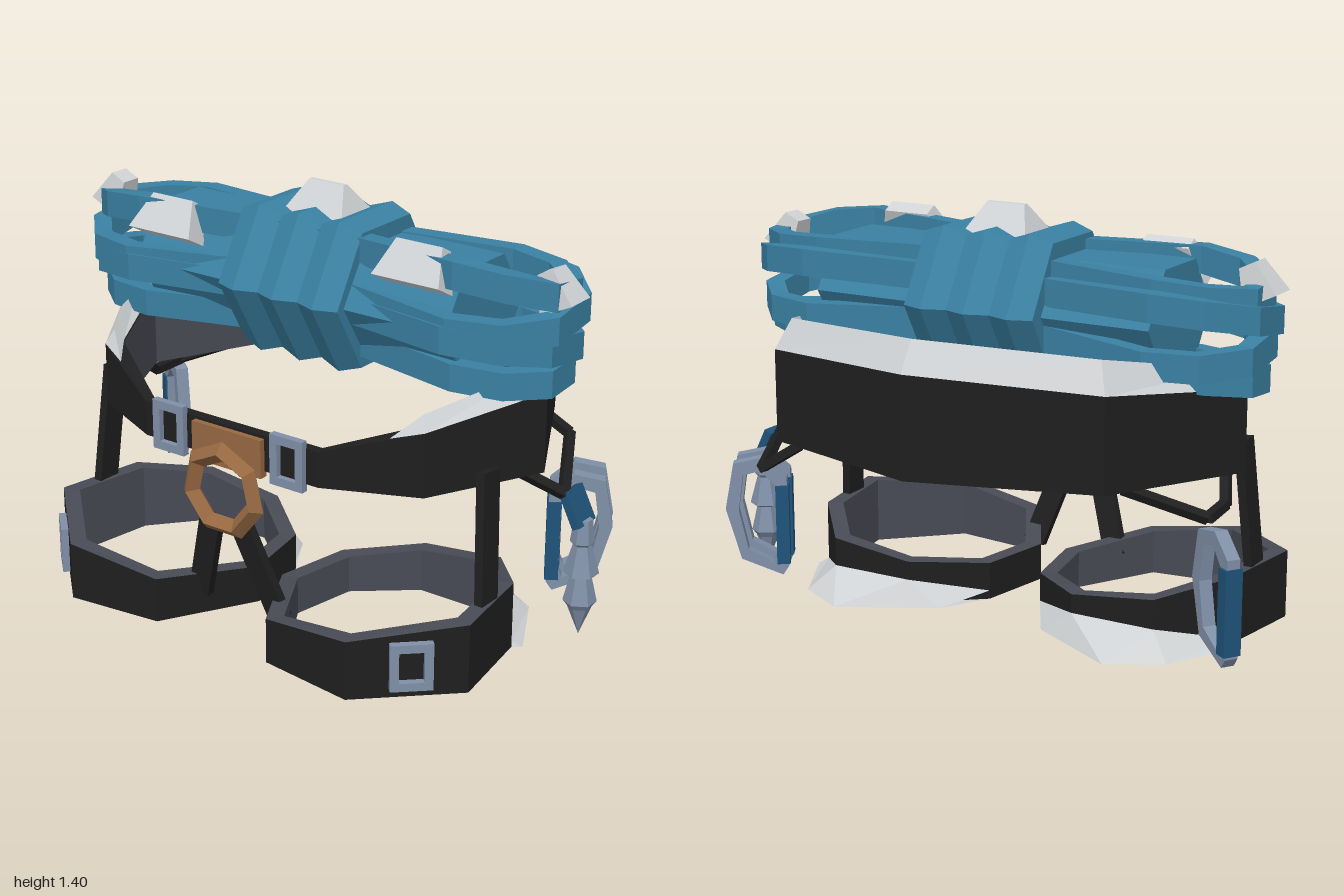
import * as THREE from 'three';

const mat = (name, color, side = THREE.FrontSide) => {
  const m = new THREE.MeshStandardMaterial({ color, side });
  m.name = name;
  return m;
};
const webbing = mat('blackWebbing', 0x1f1f1f);
const padding = mat('greyPadding', 0x484b55);
const rope = mat('blueRope', 0x3a80a2);
const snow = mat('snow', 0xcfd2d4, THREE.DoubleSide);
const metal = mat('steelBlueMetal', 0x8090a8);
const darkBlue = mat('darkBlueGate', 0x1f5279);
const tan = mat('tanLoop', 0x966841);

const V = (x, y, z) => new THREE.Vector3(x, y, z);

function add(parent, name, geo, material) {
  const g = geo.index ? geo.toNonIndexed() : geo;
  g.computeVertexNormals();
  const m = new THREE.Mesh(g, material);
  m.name = name;
  parent.add(m);
  return m;
}

// Faceted geometry from a list of four-cornered faces
function quads(list) {
  const pos = [];
  for (const [a, b, c, d] of list)
    for (const p of [a, b, c, a, c, d]) pos.push(p.x, p.y, p.z);
  const g = new THREE.BufferGeometry();
  g.setAttribute('position', new THREE.Float32BufferAttribute(pos, 3));
  return g;
}

// Closed strap loop from outer points [x, z, top, bottom, thickness]
function band(parent, name, pts, outerMat, innerMat, rimMat) {
  const n = pts.length;
  const dir = (p, q) => new THREE.Vector2(q[1] - p[1], p[0] - q[0]).normalize();
  const inner = pts.map((p, i) => {
    const a = dir(pts[(i + n - 1) % n], p), b = dir(p, pts[(i + 1) % n]);
    const m = a.clone().add(b);
    m.multiplyScalar(2 * p[4] / m.lengthSq());
    return [p[0] - m.x, p[1] - m.y];
  });
  const shell = [], lining = [], rim = [];
  for (let i = 0; i < n; i++) {
    const j = (i + 1) % n;
    const [ot, ob, it, ib] = [0, 1, 2, 3].map(k => [i, j].map(q => {
      const xz = k < 2 ? pts[q] : inner[q];
      return V(xz[0], pts[q][2 + k % 2], xz[1]);
    }));
    shell.push([ob[1], ob[0], ot[0], ot[1]], [ib[1], ib[0], ob[0], ob[1]]);
    rim.push([ot[1], ot[0], it[0], it[1]]);
    lining.push([ib[0], ib[1], it[1], it[0]]);
  }
  add(parent, name, quads(shell), outerMat);
  add(parent, name + 'Rim', quads(rim), rimMat);
  add(parent, name + 'Lining', quads(lining), innerMat);
  return inner;
}

// Straight strap from a lower point to a higher one
function beam(parent, name, a, b, w, d, material = webbing) {
  const v = b.clone().sub(a), m = add(parent, name, new THREE.BoxGeometry(w, v.length(), d), material);
  m.position.copy(a).add(b).multiplyScalar(0.5);
  m.quaternion.setFromUnitVectors(V(0, 1, 0), v.normalize());
  return m;
}

// Extruded frame with a hole
function frame(outer, hole, depth) {
  const to2 = a => a.map(p => new THREE.Vector2(...p));
  const s = new THREE.Shape(to2(outer));
  s.holes.push(new THREE.Path(to2(hole)));
  return new THREE.ExtrudeGeometry(s, { depth, bevelEnabled: false }).translate(0, 0, -depth / 2);
}
const rect = (w, h) => [[-w, -h], [w, -h], [w, h], [-w, h]];

// Tapered block of snow
function lump(parent, x, y, z, [w, h, d], topW, topD) {
  const g = new THREE.BoxGeometry(w, h, d), p = g.attributes.position;
  for (let i = 0; i < p.count; i++)
    if (p.getY(i) > 0) p.setXYZ(i, p.getX(i) * topW, p.getY(i), p.getZ(i) * topD);
  const m = add(parent, 'snowLump', g, snow);
  m.position.set(x, y, z);
  return m;
}

// Carabiner whose gate side points along (dx, dz)
function carabiner(parent, x, y, z, dx, dz) {
  const g = new THREE.Group();
  g.name = 'carabiner';
  const o = [[0.1, 0.14], [0.02, 0.21], [-0.08, 0.19], [-0.11, 0.03], [-0.06, -0.15], [0.08, -0.21], [0.1, -0.18]];
  add(g, 'carabinerFrame', frame(o, o.map(([u, v]) => [u * 0.6, v * 0.78]), 0.045), metal);
  add(g, 'carabinerGate', new THREE.BoxGeometry(0.045, 0.28, 0.06), darkBlue).position.set(0.083, -0.03, 0);
  g.position.set(x, y, z);
  g.rotation.y = Math.atan2(-dz, dx);
  parent.add(g);
}

export function createModel() {
  const root = new THREE.Group();
  root.name = 'climbingHarness';

  // Waist belt, thick at the back and thin at the front
  const half = [[0.61, -0.48, 0.93, 0.62, 0.11], [0.86, 0, 0.88, 0.61, 0.1], [0.65, 0.36, 0.81, 0.595, 0.06], [0.35, 0.5, 0.72, 0.6, 0.035]];
  const mirror = a => a.map(([x, ...r]) => [-x, ...r]).reverse();
  const belt = [[0, -0.66, 0.96, 0.62, 0.12], ...half, ...mirror(half)];
  const inner = band(root, 'waistBelt', belt, webbing, padding, webbing);

  // Ridge of snow along the belt top
  const lift = [0.1, 0.1, 0.06, 0.05];
  const sec = [-3, -2, -1, 0, 1, 2, 3].map(k => {
    const i = (k + 9) % 9, [x, z, t] = belt[i], [u, w] = inner[i];
    const h = lift[Math.abs(k)];
    return [V(x, t, z), V((x + u) / 2, t + h, (z + w) / 2), V(u, t + 0.01, w)];
  });
  const ridge = [];
  for (let i = 0; i < 6; i++) for (let k = 0; k < 2; k++)
    ridge.push([sec[i + 1][k], sec[i][k], sec[i][k + 1], sec[i + 1][k + 1]]);
  for (const s of [sec[0], sec[6]]) {
    const tip = V(s[0].x * 0.84, s[0].y - 0.03, s[0].z + 0.04);
    ridge.push([s[0], s[1], tip, tip], [s[1], s[2], tip, tip]);
  }
  add(root, 'beltSnow', quads(ridge), snow);

  // Leg loops, straps, buckles and drifts on both sides
  const leg = [[0.32, -0.15, 0.15, 0, 0.055], [0.62, -0.15, 0.185, 0, 0.055], [0.8, 0.06, 0.23, 0, 0.055],
    [0.85, 0.39, 0.235, 0, 0.055], [0.57, 0.655, 0.2, 0, 0.055], [0.23, 0.615, 0.155, 0, 0.055],
    [0.05, 0.3, 0.13, 0, 0.055], [0.1, 0.03, 0.13, 0, 0.055]];
  for (const s of [1, -1]) {
    band(root, 'legLoop', s > 0 ? leg : mirror(leg), webbing, padding, padding);
    beam(root, 'sideStrap', V(s * 0.805, 0.16, 0.23), V(s * 0.77, 0.66, 0.185), 0.03, 0.09);
    beam(root, 'frontStrap', V(s * 0.165, 0.08, 0.46), V(s * 0.06, 0.4, 0.52), 0.08, 0.03);
    add(root, 'beltBuckle', frame(rect(0.064, 0.085), rect(0.036, 0.056), 0.025), metal).position.set(s * 0.24, 0.66, 0.508);
    const b = add(root, 'legBuckle', frame(rect(0.068, 0.08), rect(0.04, 0.052), 0.03), metal);
    b.position.set(s * 0.725, 0.11, 0.522);
    b.rotation.y = s * Math.atan2(0.26, 0.28);
    const up = [[0.8, 0.02, 0.06], [0.62, 0.085, -0.15], [0.32, 0.085, -0.15], [0.1, 0.03, 0.03]].map(p => V(s * p[0], p[1], p[2]));
    const out = [[0.83, 0, 0.04], [0.7, 0, -0.21], [0.52, 0, -0.31], [0.2, 0, -0.14]].map(p => V(s * p[0], p[1], p[2]));
    add(root, 'legSnow', quads([0, 1, 2].flatMap(i => [[up[i], out[i], out[i + 1], up[i + 1]],
      [out[i], V(up[i].x, 0, up[i].z), V(up[i + 1].x, 0, up[i + 1].z), out[i + 1]]])), snow);
  }

  // Tan tie-in plate and ring
  add(root, 'tiePlate', new THREE.BoxGeometry(0.28, 0.13, 0.03), tan).position.set(0, 0.645, 0.505);
  add(root, 'tieRing', new THREE.TorusGeometry(0.133, 0.034, 4, 7).rotateZ(Math.PI / 2), tan).position.set(0, 0.51, 0.537);

  // Gear loops, each a drop, a run and a rise back to the belt
  for (const [a, b, c, d] of [
    [V(0.53, 0.61, -0.47), V(0.66, 0.525, -0.5), V(0.9, 0.526, -0.06), V(0.77, 0.63, 0.06)],
    [V(-0.62, 0.62, -0.38), V(-0.85, 0.525, -0.25), V(-0.84, 0.53, -0.1), V(-0.77, 0.63, 0.05)]])
    for (const [p, q] of [[b, a], [b, c], [c, d]]) beam(root, 'gearLoop', p, q, 0.03, 0.03);

  // Hanging gear
  carabiner(root, -0.9, 0.3, -0.285, -0.82, -0.57);
  carabiner(root, 0.84, 0.3, -0.27, -0.85, 0.52);
  carabiner(root, 0.79, 0.3, -0.36, -0.83, 0.55);
  beam(root, 'pickSling', V(0.955, 0.42, -0.1), V(0.9, 0.53, -0.1), 0.03, 0.1, darkBlue);
  const pick = [[0, 0.03], [0.04, 0.13], [0.055, 0.15], [0.034, 0.24], [0.058, 0.25], [0.03, 0.35], [0.04, 0.36], [0.03, 0.44], [0, 0.44]];
  add(root, 'icePick', new THREE.LatheGeometry(pick.map(p => new THREE.Vector2(...p)), 6), metal).position.set(0.952, 0, -0.1);

  // Rope coil: stacked strands [y, half length, half depth, end droop, tilt], pinched at the middle
  const quarter = [[0.25, 0.7], [0.68, 1], [0.87, 0.84], [1, 0.35]];
  const right = [...quarter.map(([x, z]) => [x, -z]), ...[...quarter].reverse()];
  const outline = [...right, ...right.map(([x, z]) => [-x, -z])];
  for (const [y, hx, hz, droop, tilt] of [[1.25, 0.92, 0.205, 0.06, 0.12], [1.14, 0.94, 0.265, 0.02, -0.15],
    [1.03, 0.92, 0.27, 0.01, 0.14], [0.93, 0.91, 0.195, 0, -0.08]])
    band(root, 'ropeStrand', outline.map(([x, z]) => {
      const c = 1.08 + (y - 1.08) * (0.82 + 0.2 * Math.abs(x)) - droop * x ** 4 + tilt * z * hz + 0.012 * x;
      return [x * hx, z * hz - 0.01, c + 0.045, c - 0.045, 0.06];
    }), rope, rope, rope);
  const core = add(root, 'ropeCore', new THREE.CylinderGeometry(1, 1, 1.24, 6).rotateZ(Math.PI / 2), rope);
  core.scale.set(1, 0.2, 0.22);
  core.position.set(0, 1.08, 0);

  // Ribbed wrap around the middle of the coil
  const ribs = [new THREE.Vector2(0, -0.24)];
  for (let i = 0; i <= 6; i++) ribs.push(new THREE.Vector2(i % 2 ? 1 : 0.9, -0.24 + i * 0.08));
  ribs.push(new THREE.Vector2(0, 0.24));
  const wrap = add(root, 'ropeWrap', new THREE.LatheGeometry(ribs, 6).rotateZ(Math.PI / 2).scale(1, 0.289, 0.292), rope);
  wrap.position.set(0, 1.08, -0.01);

  // Snow caught on the rope
  lump(root, 0, 1.35, -0.02, [0.24, 0.1, 0.18], 0.58, 0.1);
  lump(root, -0.5, 1.235, 0.175, [0.26, 0.13, 0.09], 0.65, 0.6).rotation.x = -0.5;
  lump(root, 0.48, 1.262, 0.165, [0.25, 0.13, 0.09], 0.68, 0.6).rotation.x = -0.5;
  for (const s of [1, -1]) lump(root, s * 0.885, 1.225, 0.005, [0.12, 0.12, 0.11], 0.5, 0.65).rotation.z = s * 0.45;

  return root;
}
